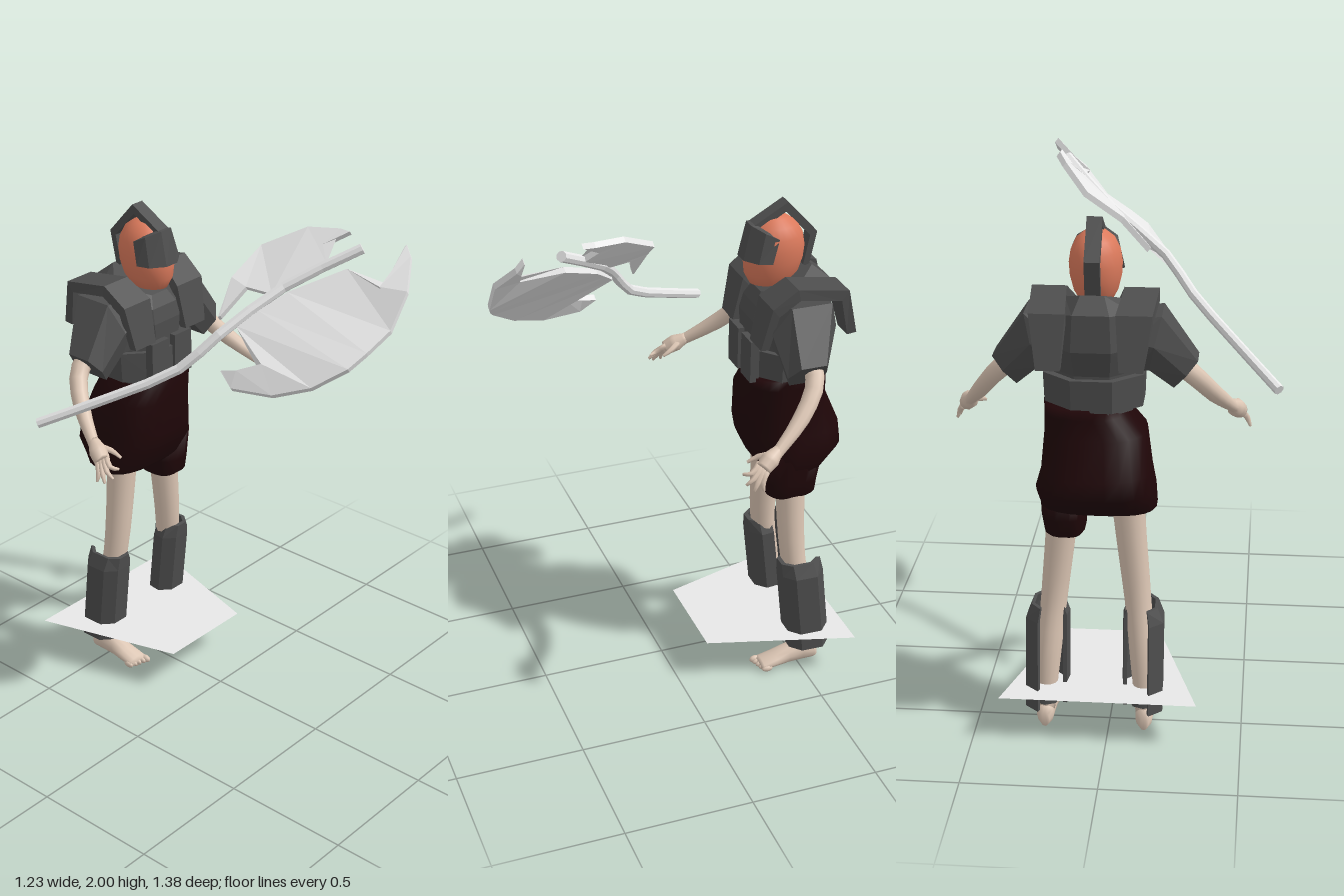
import * as THREE from 'three';

const V = (x, y, z) => new THREE.Vector3(x, y, z);
const CX = 0.053; // the body's plane of symmetry

// Skins a row of equal closed rings and caps both ends; each ring is an outline that
// runs out along one side and back along the other.
function solid(rings, smooth = false) {
  const n = rings[0].length, last = (rings.length - 1) * n, pts = rings.flat(), idx = [];
  for (let r = 0; r < rings.length - 1; r++) {
    for (let i = 0; i < n; i++) {
      const a = r * n + i, b = r * n + (i + 1) % n;
      idx.push(a, b, b + n, a, b + n, a + n);
    }
  }
  for (let i = 0; i < n / 2 - 1; i++) {
    const j = n - 1 - i;
    idx.push(i + 1, i, j, i + 1, j, j - 1);
    idx.push(last + i, last + i + 1, last + j - 1, last + i, last + j - 1, last + j);
  }
  // turn the faces outward
  let volume = 0;
  for (let k = 0; k < idx.length; k += 3) {
    volume += pts[idx[k]].dot(pts[idx[k + 1]].clone().cross(pts[idx[k + 2]]));
  }
  if (volume < 0) idx.reverse();
  let geo = new THREE.BufferGeometry().setFromPoints(pts);
  geo.setIndex(idx);
  if (!smooth) geo = geo.toNonIndexed();
  geo.computeVertexNormals();
  return geo;
}

// Horizontal ring inside a rectangle; power below 1 makes it squarer
function ring(y, x0, x1, z0, z1, n = 20, power = 1) {
  return Array.from({ length: n }, (_, i) => {
    const a = ((i + 0.5) / n) * Math.PI * 2, c = Math.cos(a), s = Math.sin(a);
    const f = (t) => Math.sign(t) * Math.abs(t) ** power;
    return V((x0 + x1) / 2 + f(c) * (x1 - x0) / 2, y, (z0 + z1) / 2 + f(s) * (z1 - z0) / 2);
  });
}

// Tapering round limb through points
function limb(points, radii, n = 10, steps = 10, smooth = true) {
  const curve = new THREE.CatmullRomCurve3(points);
  const { normals, binormals } = curve.computeFrenetFrames(steps);
  return solid(normals.map((nor, k) => {
    const t = k / steps, f = t * (radii.length - 1), i = Math.min(Math.floor(f), radii.length - 2);
    const rad = THREE.MathUtils.lerp(radii[i], radii[i + 1], f - i), c = curve.getPoint(t);
    return Array.from({ length: n }, (_, j) => {
      const a = (j / n) * Math.PI * 2;
      return c.clone().addScaledVector(nor, Math.cos(a) * rad).addScaledVector(binormals[k], Math.sin(a) * rad);
    });
  }), smooth);
}

// Bent strap: path points are [z, y, near x, far x], thickened toward a centre
function strap(path, [cz, cy], k) {
  const inner = path.map(([z, y, x0, x1]) => [cz + (z - cz) * k, cy + (y - cy) * k, x0, x1]).reverse();
  return solid([2, 3].map((e) => [...path, ...inner].map((p) => V(p[e], p[1], p[0]))));
}

// Thin blade between an outer and an inner edge
function blade(outer, inner, t) {
  const n = V(-0.63, 0.77, 0.115), pts = [...outer, ...inner.slice().reverse()].map((p) => V(...p));
  return solid([-t, t].map((d) => pts.map((p) => p.clone().addScaledVector(n, d))));
}

export function createModel() {
  const model = new THREE.Group();
  model.name = 'axeWarrior';
  const mat = (name, color, side = THREE.FrontSide) => {
    const m = new THREE.MeshStandardMaterial({ color, side });
    m.name = name;
    return m;
  };
  const armor = mat('dark armor', 0x4e4e4e, THREE.DoubleSide);
  const skin = mat('pale skin', 0xdcc6b4);
  const face = mat('red skin', 0xdc7a5c);
  const cloth = mat('dark red cloth', 0x1f0608);
  const metal = mat('light metal', 0xe7e7e7, THREE.DoubleSide);
  const add = (name, geo, m) => {
    const mesh = new THREE.Mesh(geo, m);
    mesh.name = name;
    model.add(mesh);
    return mesh;
  };

  // Head and helmet
  add('head', solid([[1.638, 0.03, -0.45, -0.36], [1.648, 0.058, -0.485, -0.33], [1.69, 0.08, -0.52, -0.308],
    [1.74, 0.092, -0.535, -0.304], [1.79, 0.095, -0.54, -0.306], [1.835, 0.088, -0.532, -0.318], [1.875, 0.07, -0.51, -0.345],
    [1.9, 0.04, -0.475, -0.38], [1.909, 0.012, -0.445, -0.41]].map(([y, h, z0, z1]) => ring(y, CX - h, CX + h, z0, z1, 24)), true), face);
  add('helmetCrest', strap([[-0.33, 1.885], [-0.465, 1.962], [-0.585, 1.83], [-0.555, 1.69]].map((p) => [...p, 0.025, 0.08]),
    [-0.43, 1.76], 0.82), armor);
  const visorArc = [[-0.1, -0.38], [-0.085, -0.33], [-0.03, -0.29], [0.03, -0.29], [0.085, -0.33], [0.1, -0.38]];
  const visorRing = (y, dz, k, slope) => {
    const at = (f) => visorArc.map(([x, z]) => V(CX + x * f * k, y + slope * (z + 0.295), -0.42 + (z + 0.42) * f + dz));
    return [...at(1), ...at(0.84).reverse()];
  };
  add('visor', solid([visorRing(1.755, 0, 1, 0), visorRing(1.885, -0.03, 0.85, 0.5)]), armor);

  // Torso with a collar that dips toward the front, and belt
  const oct = (y, hx, z0, z1, dip = 0) => {
    const pts = ring(y, CX - hx, CX + hx, z0, z1, 8);
    pts.forEach((p) => { p.y -= dip * (p.z + 0.46); });
    return pts;
  };
  add('torso', solid([oct(1.27, 0.15, -0.61, -0.31), oct(1.42, 0.165, -0.61, -0.31), oct(1.52, 0.185, -0.65, -0.305),
    oct(1.61, 0.17, -0.64, -0.32, 0.25), oct(1.665, 0.11, -0.57, -0.35, 0.4)]), armor);
  add('belt', solid([oct(1.29, 0.19, -0.63, -0.295), oct(1.41, 0.195, -0.635, -0.295)]), armor);

  // Skirt with a longer flap over the left thigh
  add('skirt', solid([[1.3, -0.04, 0.235, -0.62, -0.31], [1.26, -0.07, 0.235, -0.62, -0.305], [1.185, -0.135, 0.235, -0.63, -0.3],
    [1.05, -0.155, 0.245, -0.69, -0.3], [0.98, -0.17, 0.265, -0.695, -0.315], [0.9, -0.175, 0.25, -0.62, -0.355],
    [0.885, -0.165, 0.24, -0.59, -0.37]].map((r) => ring(...r, 24, 0.75)), true), cloth);
  add('skirtFlap', solid([[0.98, 0.08, 0.255, -0.6, -0.35], [0.85, 0.085, 0.25, -0.575, -0.365], [0.79, 0.09, 0.24, -0.57, -0.37],
    [0.775, 0.1, 0.225, -0.55, -0.39]].map((r) => ring(...r, 16, 0.7)), true), cloth);

  // Paired parts: s is +1 for the left side, -1 for the right
  for (const s of [1, -1]) {
    const side = s > 0 ? 'left' : 'right';
    const P = (x, y, z) => V(CX + s * (x - CX), y, z);
    const X = (x) => CX + s * (x - CX);

    // Chest plate, shoulder strap and flared sleeve
    const plate = add(side + 'ChestPlate', new THREE.BoxGeometry(0.095, 0.17, 0.035), armor);
    plate.position.set(X(0.117), 1.37, -0.313);
    add(side + 'ShoulderStrap', strap([[-0.3, 1.46, 0.14, 0.25], [-0.335, 1.63, 0.13, 0.272], [-0.43, 1.7, 0.155, 0.28],
      [-0.64, 1.66, 0.14, 0.268], [-0.69, 1.47, 0.155, 0.24]].map(([z, y, a, b]) => [z, y, X(a), X(b)]), [-0.48, 1.45], 0.82), armor);
    add(side + 'Sleeve', solid([
      [P(0.2, 1.62, -0.55), P(0.2, 1.62, -0.4), P(0.2, 1.55, -0.345), P(0.2, 1.43, -0.37), P(0.2, 1.43, -0.56), P(0.2, 1.55, -0.6)],
      [P(0.295, 1.635, -0.56), P(0.295, 1.635, -0.4), P(0.27, 1.53, -0.335), P(0.25, 1.43, -0.37), P(0.25, 1.43, -0.54), P(0.27, 1.53, -0.59)],
      [P(0.42, 1.45, -0.49), P(0.42, 1.45, -0.39), P(0.38, 1.4, -0.355), P(0.335, 1.345, -0.38), P(0.335, 1.345, -0.48), P(0.38, 1.4, -0.51)],
    ]), armor);

    // Arm and hand
    add(side + 'Arm', limb([P(0.33, 1.45, -0.46), P(0.41, 1.38, -0.45), P(0.48, 1.285, -0.37), P(0.535, 1.205, -0.265), P(0.55, 1.185, -0.235)],
      [0.04, 0.036, 0.032, 0.022, 0.022]), skin);
    add(side + 'Palm', limb([P(0.535, 1.205, -0.26), P(0.552, 1.18, -0.22), P(0.567, 1.155, -0.185)], [0.02, 0.035, 0.03]), skin);
    const tips = [[0.608, 1.088, -0.175], [0.602, 1.09, -0.14], [0.582, 1.11, -0.115], [0.552, 1.14, -0.112]];
    tips.forEach(([x, y, z], i) => add(side + 'Finger' + (i + 1), limb([P(0.58 - i * 0.01, 1.15 + i * 0.008, -0.195 + i * 0.005),
      P((x + 0.585) / 2, (y + 1.15) / 2, (z - 0.175) / 2), P(x, y, z)], [0.013, 0.011, 0.005], 6, 4), skin));
    add(side + 'Thumb', limb([P(0.54, 1.19, -0.23), P(0.51, 1.175, -0.19), P(0.502, 1.155, -0.15)], [0.016, 0.012, 0.006], 6, 4), skin);

    // Leg, foot and toes
    add(side + 'Leg', limb([P(0.165, 1.0, -0.47), P(0.18, 0.8, -0.47), P(0.21, 0.5, -0.48), P(0.23, 0.28, -0.515), P(0.24, 0.06, -0.54)],
      [0.065, 0.058, 0.05, 0.048, 0.034], 14, 14), skin);
    add(side + 'Foot', solid([[-0.585, 0.018, 0.055], [-0.57, 0.032, 0.085], [-0.52, 0.036, 0.105], [-0.46, 0.038, 0.085],
      [-0.4, 0.045, 0.058], [-0.345, 0.047, 0.038], [-0.335, 0.035, 0.03]].map(([z, w, h]) => Array.from({ length: 12 }, (_, i) => {
      const a = (i / 12) * Math.PI * 2;
      return P(0.24 + Math.cos(a) * w, h / 2 + 0.003 + Math.sin(a) * h / 2, z);
    })), true), skin);
    for (let i = 0; i < 5; i++) {
      const toe = add(side + 'Toe' + (i + 1), new THREE.SphereGeometry(1, 8, 6), skin);
      toe.scale.set(i ? 0.01 : 0.014, i ? 0.013 : 0.016, 0.024);
      toe.position.set(X(0.203 + i * 0.0195), 0.017, -0.333 - i * 0.006);
    }

    // Shin guard, wrapped round the outer side and open on the inner calf
    const shell = [[-0.07, -0.005], [-0.077, 0.05], [-0.035, 0.09], [0.035, 0.09], [0.078, 0.05], [0.08, -0.04], [0.03, -0.085]];
    add(side + 'ShinGuard', solid([[0.09, -0.547, 1], [0.44, -0.508, 1], [0.495, -0.5, 0.72]].map(([y, z, k]) => {
      const at = (f) => shell.map(([a, b]) => P(0.23 + a * f * k, y, z + b * f * (k < 1 ? 0.95 : 1)));
      return [...at(1), ...at(0.8).reverse()];
    })), armor);
    const cuff = add(side + 'AnkleCuff', new THREE.CylinderGeometry(0.052, 0.055, 0.04, 8), armor);
    cuff.position.set(X(0.238), 0.12, -0.54);
  }

  // Battle axe: bent haft, broad front blade and small back blade
  add('axeHaft', limb([V(-0.603, 1.307, -0.37), V(-0.43, 1.42, -0.155), V(-0.27, 1.535, 0.035), V(-0.16, 1.66, 0.13),
    V(0.06, 1.81, 0.25), V(0.25, 1.955, 0.455)], [0.02, 0.02], 8, 10, false), metal);
  add('axeFrontBlade', blade(
    [[0.31, 1.985, 0.607], [0.302, 1.95, 0.632], [0.21, 1.86, 0.688], [0.12, 1.74, 0.688], [0.02, 1.68, 0.662], [-0.05, 1.635, 0.635],
      [-0.13, 1.56, 0.536], [-0.19, 1.512, 0.407], [-0.23, 1.505, 0.25], [-0.216, 1.55, 0.19]],
    [[0.305, 1.98, 0.603], [0.24, 1.91, 0.6], [0.18, 1.86, 0.59], [0.2, 1.88, 0.43], [0.06, 1.79, 0.27], [-0.03, 1.73, 0.21],
      [-0.1, 1.68, 0.16], [-0.157, 1.6, 0.33], [-0.2, 1.565, 0.25], [-0.214, 1.552, 0.195]], 0.011), metal);
  add('axeBackBlade', blade(
    [[0.27, 1.99, 0.385], [0.272, 1.99, 0.34], [0.235, 1.978, 0.22], [0.14, 1.9, 0.08], [0, 1.81, 0.057], [-0.1, 1.69, 0.078]],
    [[0.265, 1.987, 0.38], [0.21, 1.94, 0.31], [0.17, 1.89, 0.36], [0.02, 1.785, 0.23], [0, 1.79, 0.125], [-0.095, 1.695, 0.085]], 0.011), metal);

  // Flat trapezoid sheet at shin height
  const sheet = new THREE.Shape([[-0.335, 0.685], [-0.165, 0.11], [0.235, 0.11], [0.4, 0.685]].map(([x, y]) => new THREE.Vector2(x, y)));
  add('groundSheet', new THREE.ShapeGeometry(sheet).rotateX(-Math.PI / 2).translate(0, 0.172, 0), metal);

  return model;
}
